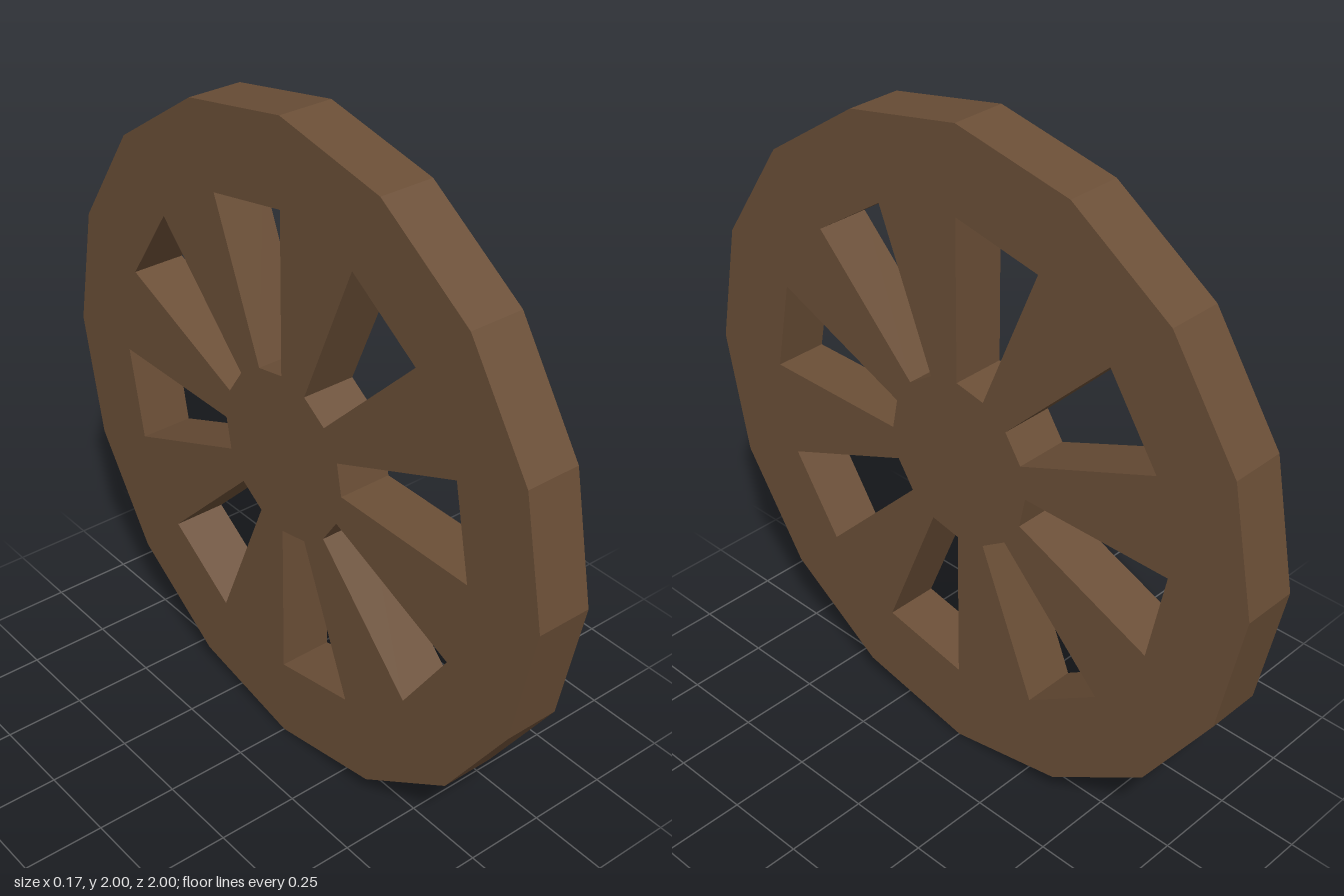
import * as THREE from 'three';

const SIDES = 16;
const WIDTH = 0.166;
const RIM = 1, HOLE_OUTER = 0.745, HOLE_INNER = 0.255;

// Point on a circle, counted in sixteenths of a turn
const at = (radius, step) => {
  const a = (step / SIDES) * Math.PI * 2;
  return new THREE.Vector2(Math.cos(a) * radius, Math.sin(a) * radius);
};

export function createModel() {
  const group = new THREE.Group();
  group.name = 'spokedWheel';

  // Sixteen-sided disc outline
  const outline = new THREE.Shape(
    Array.from({ length: SIDES }, (_, i) => at(RIM, i))
  );

  // Eight tapered openings, leaving the hub and spokes between them
  for (let i = 0; i < SIDES; i += 2) {
    outline.holes.push(new THREE.Path([
      at(HOLE_INNER, i), at(HOLE_OUTER, i),
      at(HOLE_OUTER, i - 1), at(HOLE_INNER, i - 1),
    ]));
  }

  // Extrude through the thickness, then turn the axle onto x
  const geometry = new THREE.ExtrudeGeometry(outline, { depth: WIDTH, bevelEnabled: false });
  geometry.translate(0, 0, -WIDTH / 2);
  geometry.rotateY(Math.PI / 2);
  geometry.translate(0, RIM, 0);

  const wood = new THREE.MeshStandardMaterial({ color: 0x6b4f37, flatShading: true });
  const wheel = new THREE.Mesh(geometry, wood);
  wheel.name = 'wheel';
  group.add(wheel);
  return group;
}
